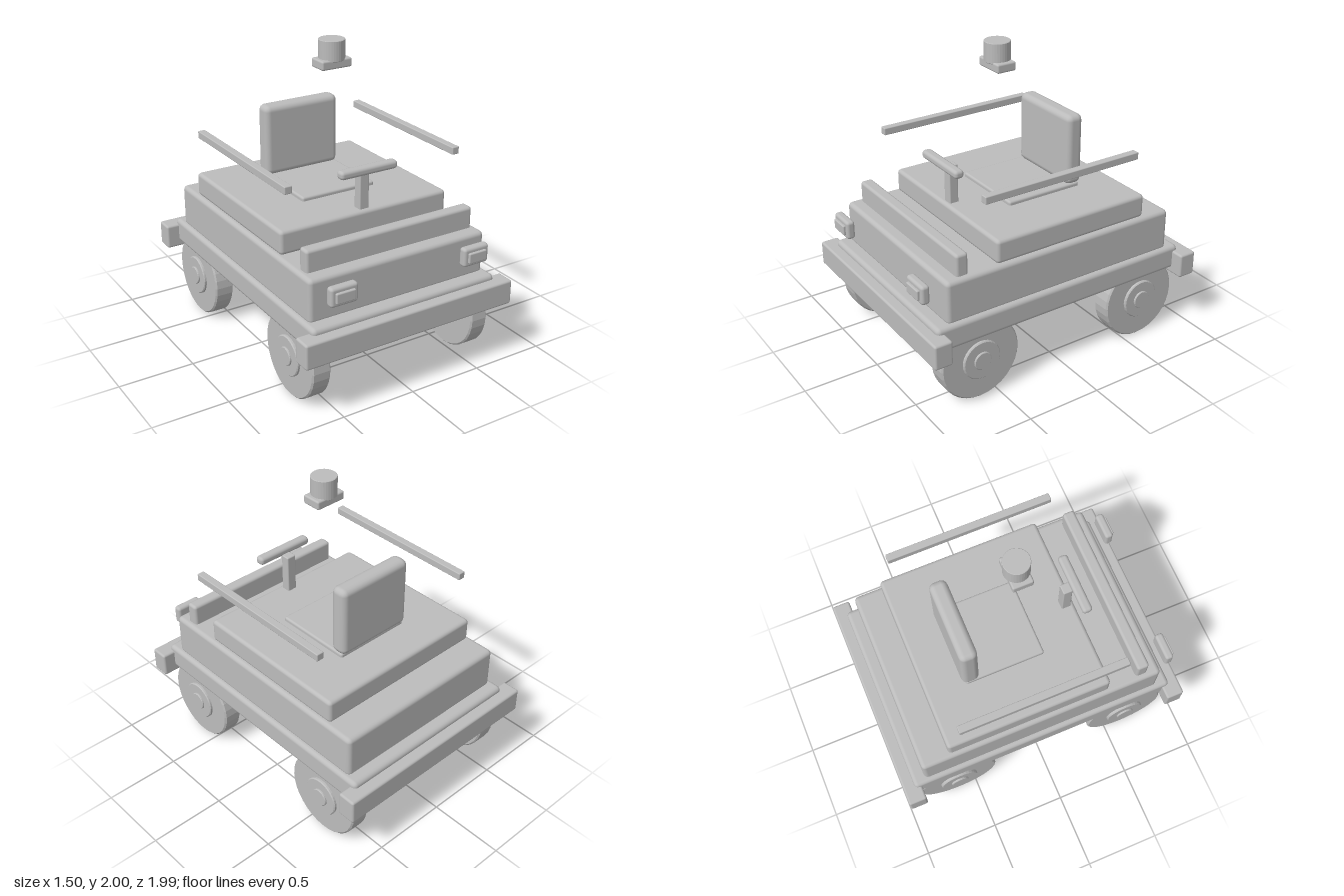
import * as THREE from 'three';
import { RoundedBoxGeometry } from 'three/addons/geometries/RoundedBoxGeometry.js';

export function createModel() {
  const model = new THREE.Group();
  model.name = 'utilityCart';
  const grey = new THREE.MeshStandardMaterial({ color: 0xbcbcbc });
  grey.name = 'plain grey';
  const facetedGrey = grey.clone();
  facetedGrey.flatShading = true;
  facetedGrey.name = 'plain grey faceted';

  // Rounded box given by its extents on each axis
  function box(name, [x0, x1], [y0, y1], [z0, z1], radius, parent = model) {
    const geo = new RoundedBoxGeometry(x1 - x0, y1 - y0, z1 - z0, 2, radius);
    const mesh = new THREE.Mesh(geo, grey);
    mesh.position.set((x0 + x1) / 2, (y0 + y1) / 2, (z0 + z1) / 2);
    mesh.name = name;
    parent.add(mesh);
    return mesh;
  }

  // Disc along y from y0 to y1 with chamfered rims
  function disc(name, r, y0, y1, b, parent, sides = 32) {
    const profile = [[0, y0], [r - b, y0], [r, y0 + b], [r, y1 - b], [r - b, y1], [0, y1]]
      .map(([x, y]) => new THREE.Vector2(x, y));
    const mesh = new THREE.Mesh(new THREE.LatheGeometry(profile, sides), facetedGrey);
    mesh.name = name;
    parent.add(mesh);
    return mesh;
  }

  // Stacked body
  box('chassis', [-0.665, 0.665], [0.425, 0.59], [-0.92, 0.925], 0.03);
  box('lowerBody', [-0.635, 0.635], [0.57, 0.86], [-0.837, 0.837], 0.03);
  box('upperDeck', [-0.61, 0.61], [0.855, 1.013], [-0.645, 0.473], 0.025);
  box('dashPanel', [-0.6, 0.6], [0.84, 1.0], [0.667, 0.75], 0.02);

  // Bumpers
  box('frontBumper', [-0.752, 0.752], [0.39, 0.555], [0.873, 0.995], 0.015);
  box('rearBumper', [-0.752, 0.752], [0.39, 0.555], [-0.995, -0.873], 0.015);

  // Seat
  box('seatCushion', [-0.268, 0.268], [0.96, 1.04], [-0.38, 0.157], 0.015);
  box('seatBack', [-0.273, 0.273], [1.03, 1.505], [-0.403, -0.285], 0.04);

  // Steering
  box('steeringColumn', [-0.034, 0.034], [1.0, 1.27], [0.383, 0.446], 0.008);
  box('steeringBar', [-0.205, 0.205], [1.255, 1.31], [0.44, 0.506], 0.022);

  // Beacon
  box('beaconBase', [-0.107, 0.107], [1.823, 1.882], [0, 0.134], 0.012);
  disc('beaconLamp', 0.083, 1.87, 2.0, 0.003, model).position.z = 0.067;

  for (const side of [-1, 1]) {
    const label = side > 0 ? 'left' : 'right';
    // Side rail
    const rail = box(label + 'Rail', [-0.025, 0.025], [1.285, 1.334], [-0.56, 0.563], 0.006);
    rail.position.x = side * 0.603;

    // Headlight
    const light = new THREE.Group();
    light.name = label + 'Headlight';
    light.position.x = side * 0.475;
    box('headlightHousing', [-0.094, 0.094], [0.72, 0.845], [0.908, 0.965], 0.02, light);
    box('headlightLens', [-0.066, 0.066], [0.747, 0.815], [0.93, 0.981], 0.008, light);
    model.add(light);

    // Wheels with hubs facing outwards
    for (const z of [0.622, -0.618]) {
      const wheel = new THREE.Group();
      wheel.name = label + (z > 0 ? 'FrontWheel' : 'RearWheel');
      disc('tyre', 0.274, 0.523, 0.65, 0.01, wheel);
      disc('hub', 0.13, 0.6, 0.668, 0.006, wheel);
      disc('hubCap', 0.06, 0.64, 0.68, 0.004, wheel, 24);
      wheel.rotation.z = -side * Math.PI / 2;
      wheel.position.set(0, 0.274, z);
      model.add(wheel);
    }
  }
  return model;
}
